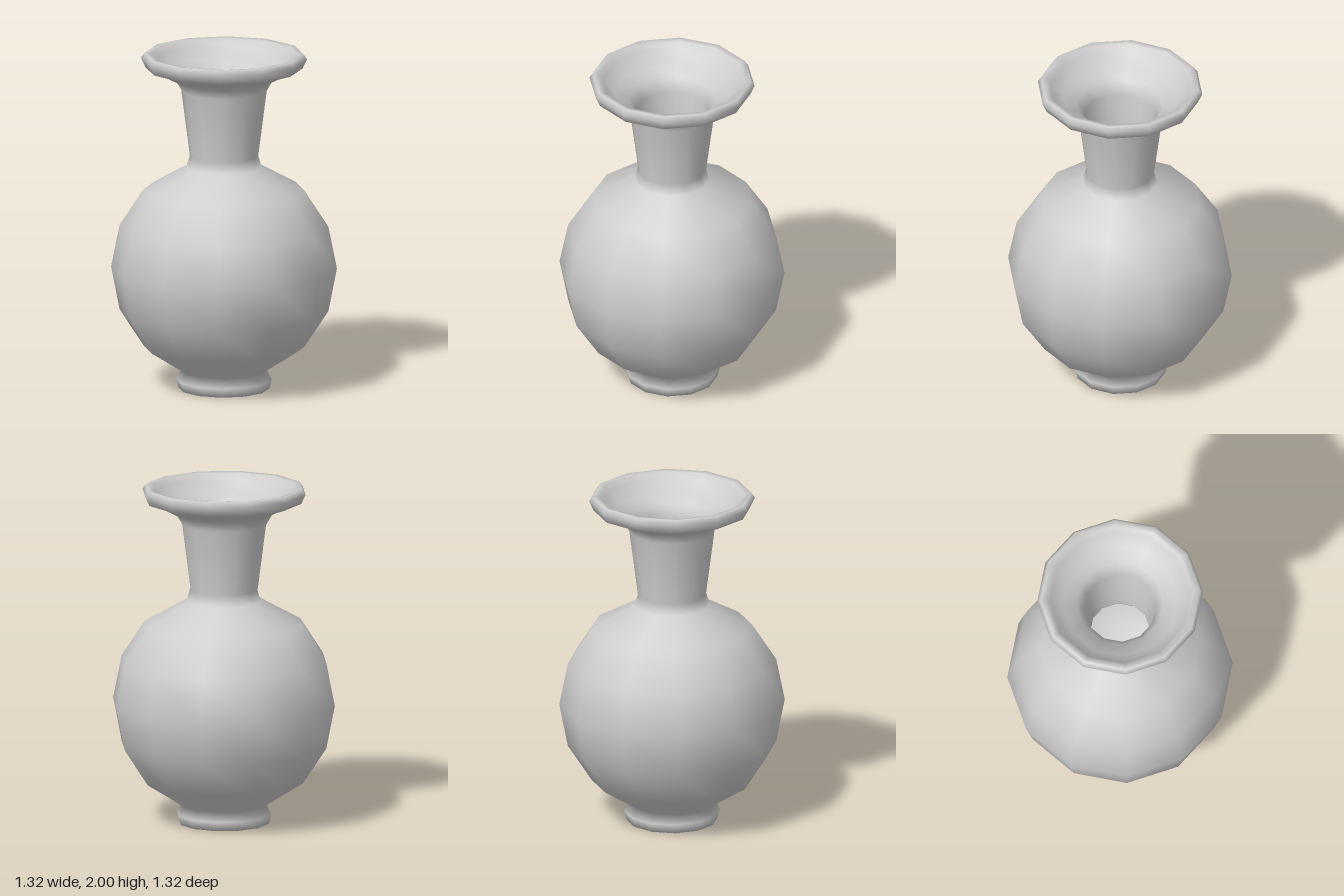
import * as THREE from 'three';

const SIDES = 12;

// Profiles as [radius, height]
const foot = [[0, 0], [0.265, 0], [0.28, 0.055], [0.25, 0.11]];
const belly = [[0.47, 0.25], [0.61, 0.465], [0.66, 0.72], [0.61, 0.97], [0.47, 1.185], [0.22, 1.325]];
const neck = [[0.2, 1.39], [0.25, 1.78], [0.285, 1.84], [0.37, 1.885]];
const lip = [[0.46, 1.915], [0.485, 1.97], [0.465, 2], [0.43, 1.995], [0.41, 1.96]];
const innerNeck = [[0.34, 1.9], [0.255, 1.855], [0.21, 1.78], [0.175, 1.39], [0.19, 1.34]];

export function createModel() {
  const group = new THREE.Group();
  group.name = 'vase';

  // Hollow inside: the belly repeated with a thin wall, running down to the floor
  const wall = 0.03;
  const innerBelly = belly.slice(0, 5).reverse()
    .map(([r, y]) => [r - wall, y + (0.72 - y) * 0.05]);
  const floor = [[0.23, 0.14], [0, 0.13]];

  const profile = [...foot, ...belly, ...neck, ...lip, ...innerNeck, ...innerBelly, ...floor]
    .map(([r, y]) => new THREE.Vector2(r, y));

  // One continuous turned body, few sides with smooth shading
  const body = new THREE.Mesh(
    new THREE.LatheGeometry(profile, SIDES),
    new THREE.MeshStandardMaterial({ color: 0xcccccc })
  );
  body.name = 'vaseBody';
  group.add(body);
  return group;
}
